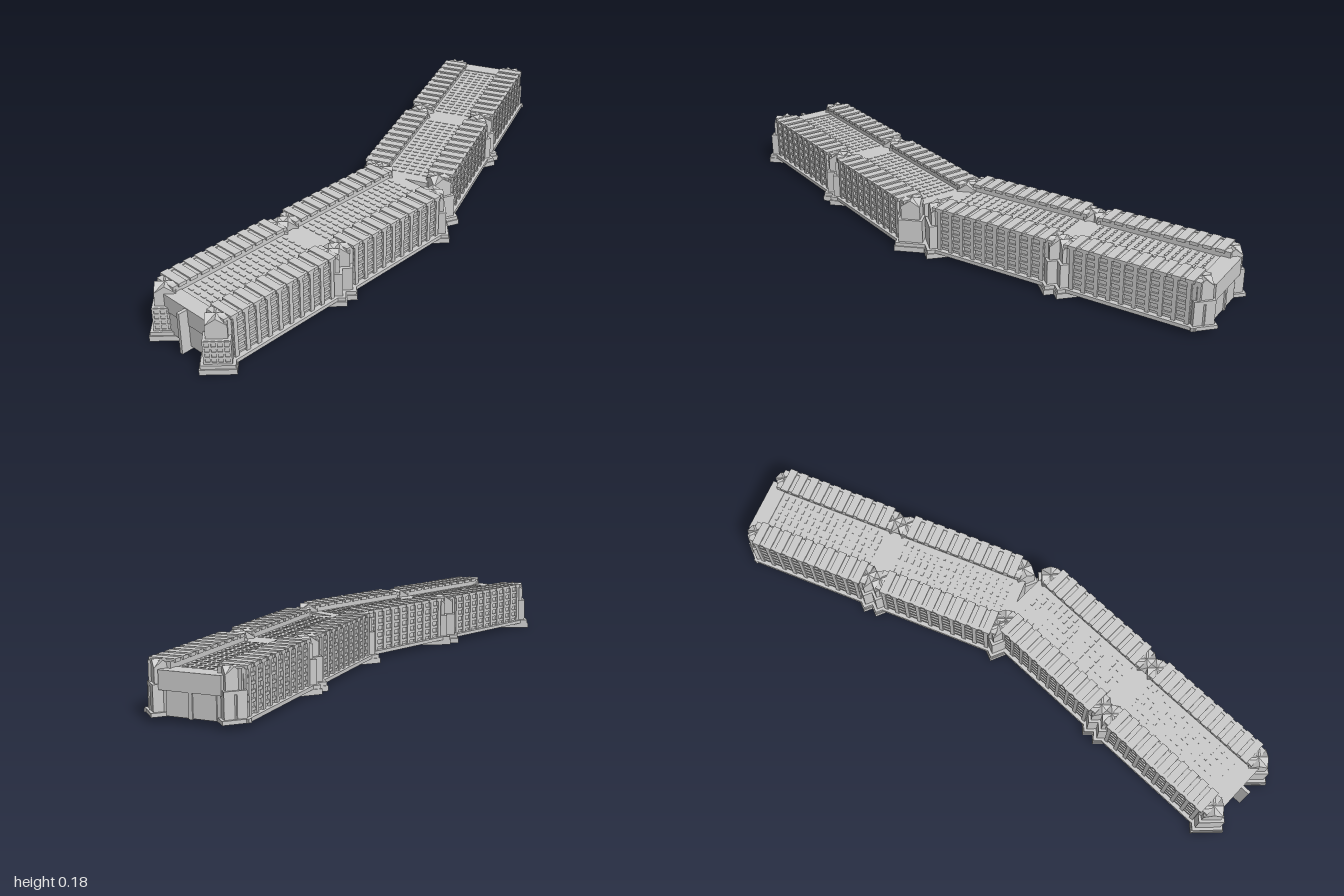
import * as THREE from 'three';

const mat = new THREE.MeshStandardMaterial({ color: 0xcccccc, flatShading: true });
const unit = new THREE.BoxGeometry(1, 1, 1);

// Box given by its x, y and z ranges
function box(parent, name, x0, x1, y0, y1, z0, z1) {
  const m = new THREE.Mesh(unit, mat);
  m.name = name;
  m.scale.set(Math.abs(x1 - x0), y1 - y0, z1 - z0);
  m.position.set((x0 + x1) / 2, (y0 + y1) / 2, (z0 + z1) / 2);
  parent.add(m);
}

// Gable prism for the tower roofs, two are crossed on each tower
const W = 0.064;
const gable = new THREE.ExtrudeGeometry(
  new THREE.Shape([[-W / 2, 0], [W / 2, 0], [0, 0.022]].map(p => new THREE.Vector2(...p))),
  { depth: W, bevelEnabled: false }
).translate(0, 0, -W / 2);

// Corner tower turned by 45 degrees, on a stepped footing
function tower(low, lattice) {
  const g = new THREE.Group();
  g.name = 'tower';
  const sq = (name, r, y0, y1) => box(g, name, -r, r, y0, y1, -r, r);
  if (!low) sq('footing', 0.0545, 0, 0.018);
  sq('footingStep', 0.051, 0.018, 0.03);
  sq('lowerTier', 0.041, 0.03, 0.11);
  sq('upperTier', W / 2, 0.11, 0.155);
  for (const a of [0, Math.PI / 2]) {
    const roof = new THREE.Mesh(gable, mat);
    roof.name = 'crossedRoof';
    roof.position.y = 0.155;
    roof.rotation.y = a;
    g.add(roof);
  }
  // window grid on one face of the lower tier
  if (lattice) {
    for (let i = 0; i < 5; i++) {
      const x = -0.038 + i * 0.019;
      box(g, 'towerMullion', x - 0.003, x + 0.003, 0.03, 0.11, 0.04, 0.044);
      const y = 0.033 + i * 0.018;
      box(g, 'towerBand', -0.041, 0.041, y - 0.003, y + 0.003, 0.04, 0.0435);
    }
  }
  g.rotation.y = Math.PI / 4;
  return g;
}

// One long block: two walls, a sunken deck between them and four towers
function block(backEnd, frontEnd) {
  const g = new THREE.Group();
  g.name = 'block';
  const L = 0.2;
  box(g, 'deck', -0.08, 0.08, 0.02, 0.15, -0.245, 0.245);
  for (let i = 0; i < 17; i++) {
    const z = -0.2 + i * 0.025;
    box(g, 'floorRib', -0.075, 0.075, 0.01, 0.022, z - 0.005, z + 0.005);
    for (let k = -2; k <= 2; k++)
      box(g, 'deckSlat', k * 0.028 - 0.009, k * 0.028 + 0.009, 0.149, 0.152, z - 0.004, z + 0.004);
  }
  for (const s of [-1, 1]) {
    box(g, 'wall', s * 0.075, s * 0.149, 0.018, 0.172, -0.225, 0.225);
    box(g, 'wallPlinth', s * 0.14, s * 0.167, 0.018, 0.03, -0.225, 0.225);
    // window grid on the outer face
    for (let i = 0; i < 10; i++) {
      const z = -L + 0.008 + i * (2 * L - 0.016) / 9;
      box(g, 'pilaster', s * 0.07, s * 0.158, 0.166, 0.177, z - 0.014, z + 0.014);
      box(g, 'pilaster', s * 0.145, s * 0.158, 0.025, 0.177, z - 0.007, z + 0.007);
    }
    for (let i = 0; i < 6; i++) {
      const y = 0.045 + i * 0.025;
      box(g, 'wallBand', s * 0.145, s * 0.155, y - 0.005, y + 0.005, -L, L);
    }
    for (const e of [-1, 1]) {
      const small = backEnd && e < 0;
      const t = tower(small, frontEnd && e > 0);
      t.position.set(s * 0.113, 0, e * (small ? 0.214 : 0.222));
      if (small) t.scale.set(0.82, 1, 0.82);
      g.add(t);
    }
  }
  return g;
}

// Wing of two blocks in line
function wing(name, last) {
  const g = new THREE.Group();
  g.name = name;
  for (const e of [-1, 1]) {
    const b = block(last && e < 0, !last && e > 0);
    b.position.z = e * 0.245;
    g.add(b);
  }
  return g;
}

export function createModel() {
  const model = new THREE.Group();
  model.name = 'bentWallComplex';

  const front = wing('frontWing', false);
  front.position.set(0.172, 0, 0.455);
  // end beam and thin fin
  box(front, 'endBeam', -0.1, 0.095, 0.095, 0.153, 0.44, 0.492);
  box(front, 'endFin', 0.003, 0.014, 0.008, 0.15, 0.44, 0.522);
  model.add(front);

  const back = wing('backWing', true);
  back.position.set(-0.043, 0, -0.49);
  back.rotation.y = 0.38;
  // closed far end below an overhanging beam
  box(back, 'farBeam', -0.1, 0.1, 0.095, 0.153, -0.497, -0.44);
  box(back, 'farWall', -0.14, 0.14, 0.018, 0.1, -0.485, -0.44);
  box(back, 'farFin', -0.006, 0.006, 0.018, 0.1, -0.495, -0.44);
  model.add(back);
  return model;
}
